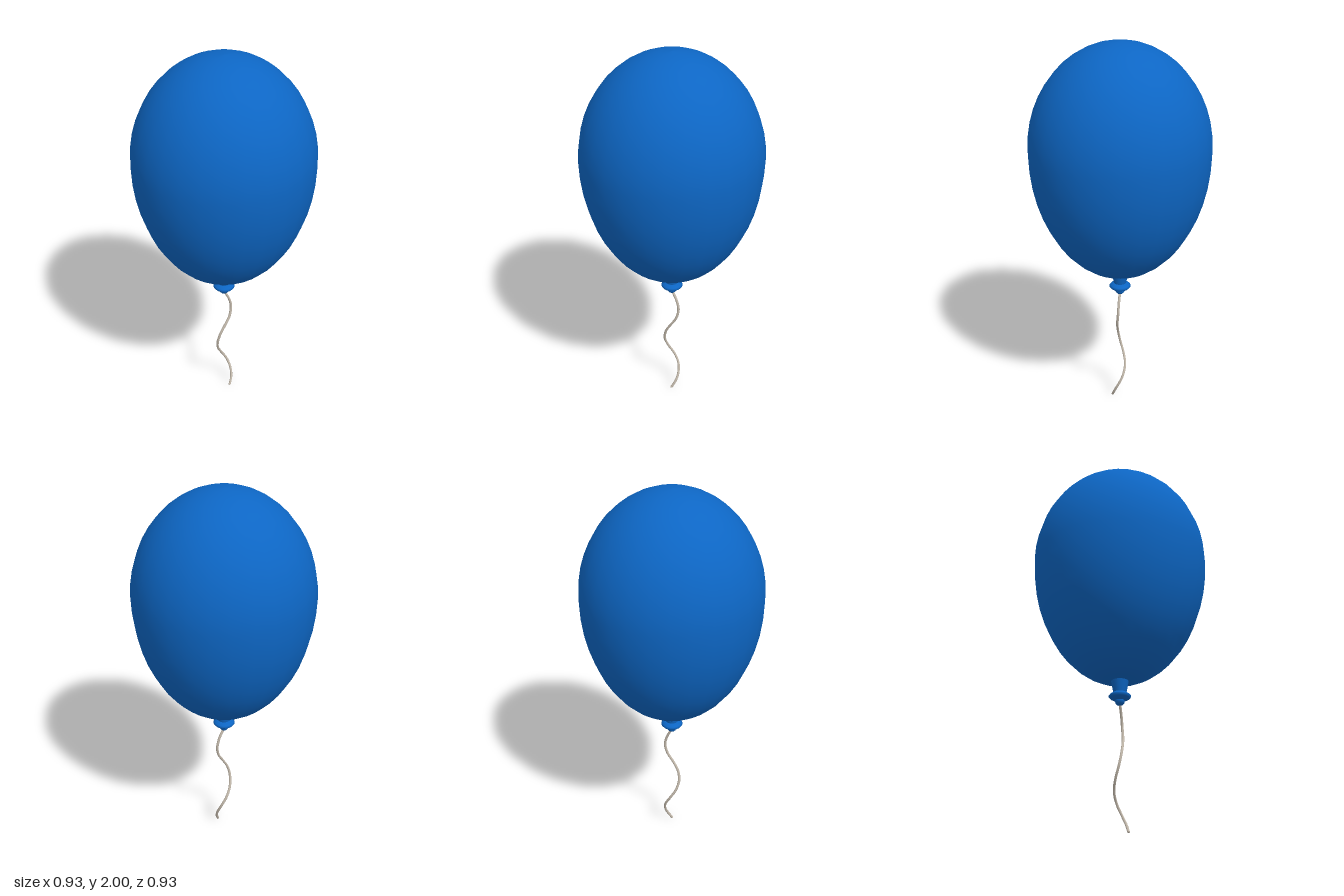
import * as THREE from 'three';

export function createModel() {
  const group = new THREE.Group();
  const blue = new THREE.MeshStandardMaterial({ color: 0x0d66c4 });
  blue.name = 'balloon blue';
  const twine = new THREE.MeshStandardMaterial({ color: 0xc8beb0 });
  twine.name = 'string beige';

  const add = (name, geometry, material) => {
    const mesh = new THREE.Mesh(geometry, material);
    mesh.name = name;
    group.add(mesh);
    return mesh;
  };
  const lathe = (pairs, segments) =>
    new THREE.LatheGeometry(pairs.map(([r, y]) => new THREE.Vector2(r, y)), segments);

  // Egg-shaped body: a tall half ellipse below the widest ring, a shorter one above
  const widest = 1.46, radius = 0.463, below = 0.69, above = 0.54, rings = 24;
  const profile = [];
  for (let i = 0; i <= rings; i++) {
    const a = -Math.PI / 2 + (Math.PI * i) / rings;
    const r = i % rings === 0 ? 0 : radius * Math.cos(a);
    profile.push([r, widest + Math.sin(a) * (a < 0 ? below : above)]);
  }
  add('balloonBody', lathe(profile, 28), blue);

  // Tapered neck between body and lip
  add('neck', new THREE.CylinderGeometry(0.05, 0.033, 0.09, 20), blue).position.y = 0.755;

  // Flared rolled lip
  add('lip', lathe([
    [0, 0.668], [0.025, 0.67], [0.05, 0.682], [0.058, 0.692],
    [0.052, 0.7], [0.035, 0.712], [0, 0.714],
  ], 20), blue);

  // Tied knot
  const knot = add('knot', new THREE.SphereGeometry(0.025, 16, 10), blue);
  knot.position.y = 0.667;

  // Wavy hanging string: even wave in x, a looser one in z
  const path = new THREE.CatmullRomCurve3([
    [0, 0.655, 0], [0.03, 0.595, 0], [0.042, 0.54, 0.001], [0.03, 0.48, 0.008],
    [0, 0.43, 0.014], [-0.03, 0.375, 0.015], [-0.042, 0.315, 0.006], [-0.03, 0.255, -0.014],
    [0, 0.2, -0.029], [0.03, 0.145, -0.023], [0.042, 0.09, 0], [0.036, 0.045, 0.022],
    [0.018, 0.004, 0.039],
  ].map((p) => new THREE.Vector3(...p)));
  add('string', new THREE.TubeGeometry(path, 64, 0.007, 6, false), twine);

  // Closed tip at the free end of the string
  add('stringTip', new THREE.SphereGeometry(0.007, 6, 4), twine).position.set(0.018, 0.007, 0.038);

  return group;
}
